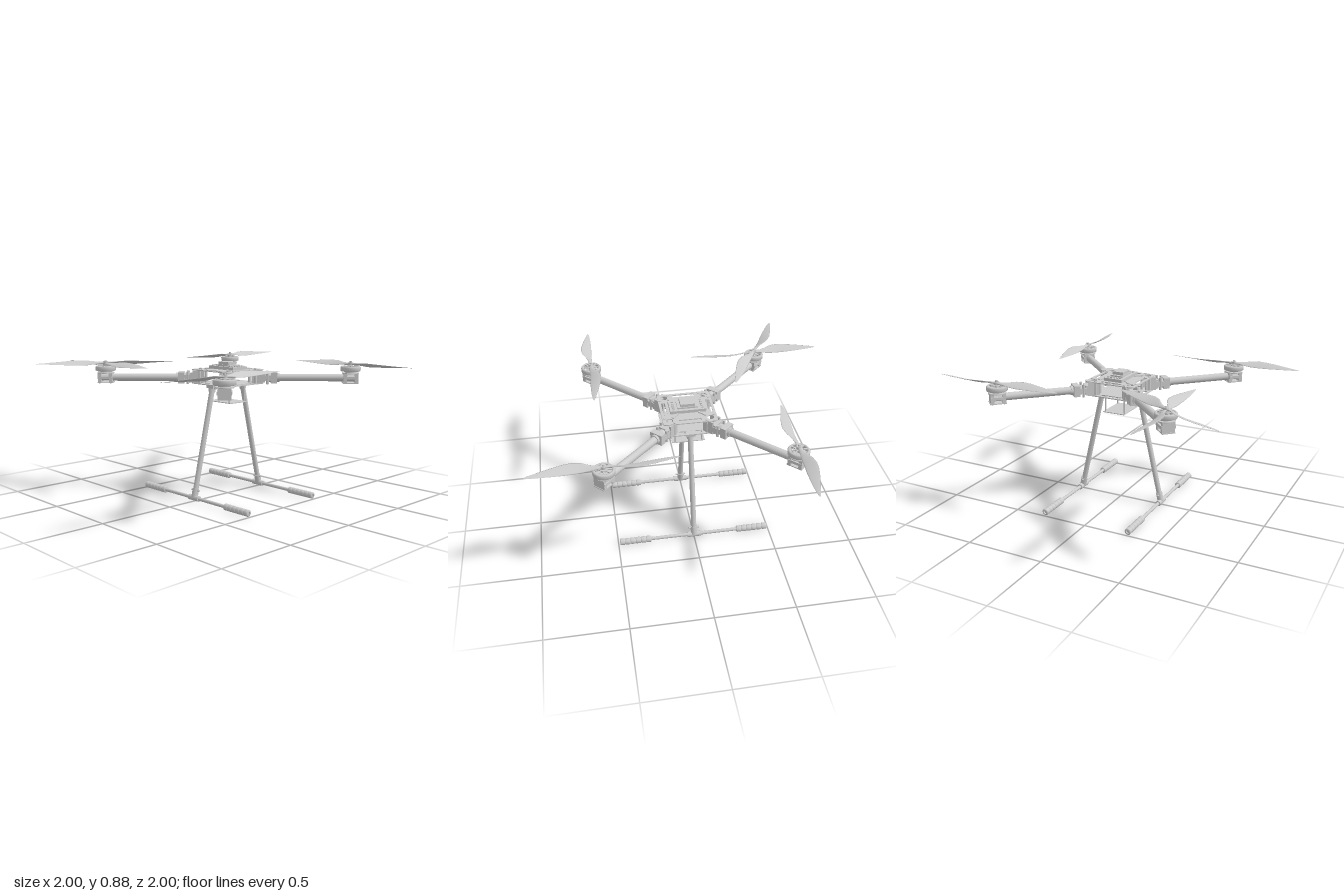
import * as THREE from 'three';

const grey = new THREE.MeshStandardMaterial({ color: 0xcccccc, side: THREE.DoubleSide });
const V = (x, y, z) => new THREE.Vector3(x, y, z);

function add(parent, name, geometry, x = 0, y = 0, z = 0) {
  const mesh = new THREE.Mesh(geometry, grey);
  mesh.name = name;
  mesh.position.set(x, y, z);
  parent.add(mesh);
  return mesh;
}
const box = (p, name, w, h, d, x, y, z) => add(p, name, new THREE.BoxGeometry(w, h, d), x, y, z);
const cyl = (p, name, r, h, x, y, z, n = 20) => add(p, name, new THREE.CylinderGeometry(r, r, h, n), x, y, z);

// Round bar between two points
function rod(parent, name, a, b, r) {
  const m = cyl(parent, name, r, a.distanceTo(b), 0, 0, 0, 24);
  m.position.copy(a).lerp(b, 0.5);
  m.quaternion.setFromUnitVectors(V(0, 1, 0), b.clone().sub(a).normalize());
  return m;
}
function lathe(parent, name, pts, x, y, z) {
  return add(parent, name, new THREE.LatheGeometry(pts.map(p => new THREE.Vector2(...p)), 32), x, y, z);
}
function rectPath(P, w, d, x = 0, y = 0) {
  const p = new P();
  p.moveTo(x - w / 2, y - d / 2);
  p.lineTo(x + w / 2, y - d / 2);
  p.lineTo(x + w / 2, y + d / 2);
  p.lineTo(x - w / 2, y + d / 2);
  p.closePath();
  return p;
}

// Flat frame plate with corner holes and edge slots
function framePlate(parent, name, y) {
  const s = new THREE.Shape(), a = 0.17, c = 0.15;
  s.moveTo(-c, -a); s.lineTo(c, -a); s.quadraticCurveTo(a, -a, a, -c);
  s.lineTo(a, c); s.quadraticCurveTo(a, a, c, a);
  s.lineTo(-c, a); s.quadraticCurveTo(-a, a, -a, c);
  s.lineTo(-a, -c); s.quadraticCurveTo(-a, -a, -c, -a);
  for (const i of [-1, 1]) {
    s.holes.push(rectPath(THREE.Path, 0.14, 0.024, 0, i * 0.142));
    s.holes.push(rectPath(THREE.Path, 0.024, 0.14, i * 0.142, 0));
    for (const j of [-1, 1]) {
      const h = new THREE.Path();
      h.absarc(i * 0.128, j * 0.128, 0.022, 0, Math.PI * 2);
      s.holes.push(h);
    }
  }
  const g = new THREE.ExtrudeGeometry(s, { depth: 0.006, bevelEnabled: false, curveSegments: 12 });
  add(parent, name, g.rotateX(-Math.PI / 2), 0, y, 0);
}

// Twisted blade along +x; side = -1 gives the opposite spin
function bladeGeometry(side) {
  // radius, leading z, trailing z, pitch slope
  const stations = [[0, -.012, .012, .1], [.04, -.012, .012, .3], [.08, -.024, .013, .5], [.12, -.042, .014, .5],
    [.17, -.052, .016, .42], [.22, -.049, .02, .35], [.29, -.034, .023, .28], [.36, -.015, .023, .22],
    [.41, 0, .021, .18], [.432, .007, .018, .15], [.44, .012, .014, .1]];
  const n = 12, pos = [], idx = [];
  stations.forEach(([r, lead, trail, slope], i) => {
    const mid = (lead + trail) / 2, half = (trail - lead) / 2, t = i < 2 ? 0.007 : 0.004 * (1 - r / 0.55);
    for (let k = 0; k < n; k++) {
      const a = k / n * Math.PI * 2, dz = half * Math.cos(a);
      pos.push(r, t * Math.sin(a) - dz * slope, side * (mid + dz));
      if (i) {
        const p = (i - 1) * n + k, q = (i - 1) * n + (k + 1) % n;
        if (side > 0) idx.push(p, p + n, q, q, p + n, q + n);
        else idx.push(p, q, p + n, q, q + n, p + n);
      }
    }
  });
  const g = new THREE.BufferGeometry();
  g.setAttribute('position', new THREE.Float32BufferAttribute(pos, 3));
  g.setIndex(idx);
  g.computeVertexNormals();
  return g;
}
function propeller(parent, x, y, z, degrees, side) {
  const g = new THREE.Group();
  g.name = 'propeller';
  g.position.set(x, y, z);
  g.rotation.y = degrees * Math.PI / 180;
  const blade = bladeGeometry(side);
  for (const turn of [0, Math.PI]) add(g, 'propellerBlade', blade).rotation.y = turn;
  cyl(g, 'propellerHub', 0.017, 0.018, 0, 0, 0);
  parent.add(g);
}

// One arm pointing along +x, with hinge, motor clamp and motor
function makeArm() {
  const g = new THREE.Group(), R = 0.795, Y = 0.775;
  g.name = 'arm';
  rod(g, 'armTube', V(0.25, Y, 0), V(0.84, Y, 0), 0.024);
  rod(g, 'armCollar', V(0.25, Y, 0), V(0.335, Y, 0), 0.03);
  // folding joint
  box(g, 'hingeBlock', 0.04, 0.07, 0.085, 0.3, Y, 0);
  box(g, 'hingeRoot', 0.035, 0.06, 0.075, 0.225, Y, 0);
  for (const s of [-1, 1]) {
    box(g, 'hingeFork', 0.09, 0.035, 0.014, 0.255, Y, s * 0.034);
    box(g, 'rootBracket', 0.07, 0.085, 0.012, 0.19, 0.782, s * 0.036);
    cyl(g, 'hingePin', 0.009, 0.08, 0.258, Y, s * 0.034, 12);
    // motor clamp
    box(g, 'clampJaw', 0.022, 0.066, 0.076, R + s * 0.036, 0.772, 0);
    box(g, 'clampSide', 0.09, 0.018, 0.012, R, Y, s * 0.036);
    for (const t of [-1, 1]) cyl(g, 'clampBolt', 0.006, 0.07, R + s * 0.036, 0.772, t * 0.032, 10);
  }
  box(g, 'clampLowerPlate', 0.1, 0.006, 0.076, R, 0.742, 0);
  cyl(g, 'motorMountPlate', 0.055, 0.006, R, 0.805, 0, 32);
  // motor with open spoked bell
  cyl(g, 'motorStator', 0.036, 0.03, R, 0.822, 0, 28);
  lathe(g, 'motorBell', [[.056, .816], [.065, .82], [.066, .843], [.06, .85], [.05, .85], [.05, .842], [.056, .838], [.056, .816]], R, 0, 0);
  cyl(g, 'motorCap', 0.024, 0.012, R, 0.847, 0, 24);
  cyl(g, 'motorShaft', 0.008, 0.045, R, 0.86, 0, 12);
  for (let i = 0; i < 8; i++) {
    const a = i * Math.PI / 4;
    box(g, 'bellSpoke', 0.04, 0.007, 0.009, R + 0.037 * Math.cos(a), 0.846, -0.037 * Math.sin(a)).rotation.y = a;
  }
  return g;
}

// Half of the landing gear, s = side of the model
function landingLeg(parent, s) {
  const g = new THREE.Group();
  g.name = 'landingLeg';
  parent.add(g);
  const top = V(s * 0.131, 0.735, 0), foot = V(s * 0.295, 0.024, 0), at = t => top.clone().lerp(foot, t);
  rod(g, 'legTube', top, foot, 0.017);
  rod(g, 'legTopSocket', at(0), at(0.06), 0.022);
  rod(g, 'legFootSocket', at(0.92), at(1), 0.021);
  box(g, 'legBracket', 0.055, 0.025, 0.06, s * 0.132, 0.728, 0);
  rod(g, 'legPivot', V(s * 0.132, 0.72, -0.033), V(s * 0.132, 0.72, 0.033), 0.012);
  rod(g, 'footBolt', V(s * 0.284, 0.07, -0.034), V(s * 0.284, 0.07, 0.034), 0.006);
  rod(g, 'skidTube', V(s * 0.295, 0.022, -0.48), V(s * 0.295, 0.022, 0.48), 0.011);
  rod(g, 'skidJoint', V(s * 0.295, 0.022, -0.045), V(s * 0.295, 0.022, 0.045), 0.018);
  // ribbed foam grips
  const pts = [[.011, 0]], ribs = 6, L = 0.205;
  for (let i = 0; i < ribs; i++) {
    const y0 = i * L / ribs, y1 = (i + 1) * L / ribs;
    pts.push([.016, y0], [.021, y0 + .004], [.021, y1 - .004], [.016, y1]);
  }
  pts.push([.011, L]);
  for (const e of [-1, 1]) lathe(g, 'skidGrip', pts, s * 0.295, 0.022, e * 0.285).rotation.x = e * Math.PI / 2;
}

export function createModel() {
  const model = new THREE.Group();
  model.name = 'quadcopter';

  // Body frame
  framePlate(model, 'topPlate', 0.823);
  framePlate(model, 'bottomPlate', 0.735);
  for (const i of [-1, 1]) for (const j of [-1, 1]) {
    for (const [a, b] of [[0.1, 0.155], [0.155, 0.1], [0.1, 0.1]])
      cyl(model, 'framePost', 0.009, 0.1, i * a, 0.783, j * b, 12);
    const arm = makeArm();
    arm.rotation.y = -Math.atan2(j, i);
    model.add(arm);
    // hanging tray supports
    cyl(model, 'trayRod', 0.005, 0.12, i * 0.068, 0.677, j * 0.085, 10);
    // control board feet and braces
    box(model, 'boardBrace', 0.06, 0.006, 0.012, i * 0.085, 0.832, j * 0.085).rotation.y = -Math.atan2(j, i);
  }
  box(model, 'trayPlate', 0.15, 0.005, 0.21, 0, 0.62, 0);
  for (const s of [-1, 1]) box(model, 'trayRail', 0.012, 0.008, 0.21, s * 0.068, 0.731, 0);

  // Electronics on the top plate
  box(model, 'controlBoard', 0.125, 0.02, 0.225, 0, 0.84, 0);
  box(model, 'controlCase', 0.085, 0.012, 0.13, 0, 0.853, 0);
  box(model, 'receiver', 0.075, 0.022, 0.09, 0, 0.867, 0);
  for (let i = 0; i < 5; i++) for (const s of [-1, 1])
    box(model, 'connector', 0.012, 0.008, 0.014, (i - 2) * 0.021, 0.852, s * 0.09);

  // Landing gear
  for (const s of [-1, 1]) landingLeg(model, s);

  // Propellers
  const m = 0.562;
  propeller(model, -m, 0.864, m, 1, 1);
  propeller(model, m, 0.864, -m, 0, 1);
  propeller(model, m, 0.864, m, 92, -1);
  propeller(model, -m, 0.861, -m, 92, 1);
  propeller(model, -m, 0.869, -m, -30.5, -1);
  return model;
}
